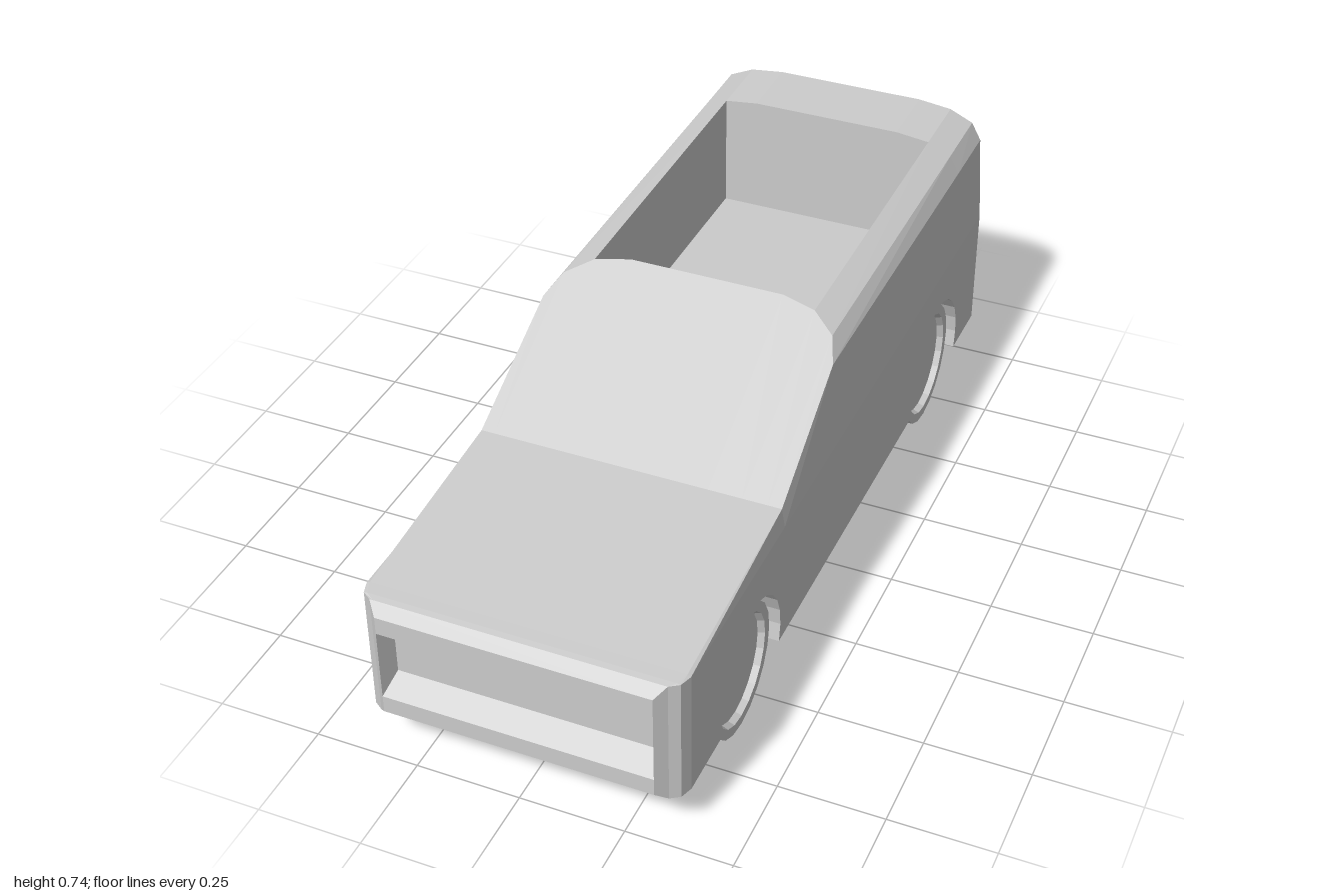
import * as THREE from 'three';

const mat = new THREE.MeshStandardMaterial({ color: 0xcccccc, flatShading: true, side: THREE.DoubleSide });
const BELT = 0.43, SILL = 0.112, ARCH = 0.178, AXLE_Y = 0.16, AXLES = [-0.67, 0.6];

// Flat-shaded panel through rows of [x, y, z] points
function panel(name, rows) {
  const pos = [];
  for (let i = 0; i < rows.length - 1; i++) {
    for (let j = 0; j < rows[i].length - 1; j++) {
      const a = rows[i][j], b = rows[i][j + 1], c = rows[i + 1][j], d = rows[i + 1][j + 1];
      pos.push(...a, ...c, ...b, ...b, ...c, ...d);
    }
  }
  const g = new THREE.BufferGeometry();
  g.setAttribute('position', new THREE.Float32BufferAttribute(pos, 3));
  g.computeVertexNormals();
  return named(name, g);
}

function named(name, geometry) {
  const mesh = new THREE.Mesh(geometry, mat);
  mesh.name = name;
  return mesh;
}

const flip = ([x, y, z]) => [-x, y, z];
const full = (half) => [...half, ...half.map(flip).reverse()];
const drop = (row) => row.map(([x, , z]) => [x, BELT, z]);
const ring = (x, y0, y1, z) => [[x, y0, z], [x, y1, z], [-x, y1, z], [-x, y0, z], [x, y0, z]];

// Side outline of the lower body, optionally with wheel arches, extruded along x
function slab(x0, x1, arches) {
  const s = new THREE.Shape();
  s.moveTo(-1, SILL);
  if (arches) {
    const dip = Math.asin((AXLE_Y - SILL) / ARCH);
    for (const z of AXLES) {
      for (let i = 0; i <= 14; i++) {
        const a = Math.PI + dip - (i / 14) * (Math.PI + 2 * dip);
        s.lineTo(z + ARCH * Math.cos(a), AXLE_Y + ARCH * Math.sin(a));
      }
    }
  }
  s.lineTo(0.93, SILL);
  s.lineTo(0.93, BELT);
  s.lineTo(-1, BELT);
  const g = new THREE.ExtrudeGeometry(s, { depth: x1 - x0, bevelEnabled: false });
  g.rotateY(-Math.PI / 2); // shape x becomes z, depth runs to -x
  g.translate(x1, 0, 0);
  return g;
}

function wheel(x, z, side) {
  const profile = [[0, -0.046], [0.16, -0.046], [0.16, 0.046], [0.135, 0.046], [0.13, 0.03], [0, 0.03]];
  const g = new THREE.LatheGeometry(profile.map(([r, h]) => new THREE.Vector2(r, h)), 20);
  g.rotateZ(-side * Math.PI / 2);
  const mesh = named((side > 0 ? 'left' : 'right') + (z > 0 ? 'FrontWheel' : 'RearWheel'), g);
  mesh.position.set(x, AXLE_Y, z);
  return mesh;
}

export function createModel() {
  const group = new THREE.Group();

  // Lower body: a plain core between two slabs with wheel arches
  group.add(named('lowerBody', slab(-0.25, 0.25, false)));
  group.add(named('leftLowerSide', slab(0.25, 0.375, true)));
  group.add(named('rightLowerSide', slab(-0.375, -0.25, true)));

  // Half cross-sections from the belt line up to the roof
  const roof = (z) => {
    const d = (z + 1) * 0.016;
    return [[0.375, BELT, z], [0.36, 0.655 - d / 2, z], [0.335, 0.7 - d, z], [0.275, 0.727 - d, z], [0.19, 0.737 - d, z]];
  };
  const rear = roof(-1), bedBack = roof(-0.82);
  const pillar = [[0.375, BELT, 0.17], [0.36, 0.652, 0.09], [0.335, 0.687, 0.03], [0.275, 0.712, -0.015], [0.19, 0.722, -0.033]];
  const hoodAt = (x, y, z) => [[x, BELT, z], [x - 0.008, y, z], [x * 0.89, y, z], [x * 0.73, y, z], [x * 0.51, y, z]];
  const cowl = hoodAt(0.375, 0.478, 0.41);
  const hoodRows = [cowl, hoodAt(0.375, 0.434, 0.93), hoodAt(0.365, 0.432, 0.96), hoodAt(0.343, BELT, 0.975)].map(full);

  group.add(panel('tailPanel', [full(rear), drop(full(rear))]));
  group.add(panel('rearRoof', [full(rear), full(bedBack)]));
  group.add(panel('windshield', [full(pillar), full(cowl)]));
  group.add(panel('hood', hoodRows));

  // Upper sides and the walls of the open interior
  const rail = [bedBack[3], pillar[3], cowl[3]];
  for (const [side, f] of [['left', (p) => p], ['right', flip]]) {
    group.add(panel(side + 'UpperSide', [bedBack.slice(0, 4).map(f), pillar.slice(0, 4).map(f)]));
    group.add(panel(side + 'InnerWall', [rail.map(f), drop(rail).map(f)]));
  }
  const backEdge = full(bedBack.slice(3));
  group.add(panel('innerBackWall', [backEdge, drop(backEdge)]));

  // Nose with chamfered corners and a raised front panel
  group.add(panel('nose', [
    ring(0.375, SILL, BELT, 0.93), ring(0.365, SILL, BELT, 0.96),
    ring(0.343, SILL, BELT, 0.975), ring(0.32, 0.137, 0.406, 1),
  ]));

  // Front panel with a horizontal trough, closed at both ends
  const trough = [[0.406, 1], [0.361, 1], [0.316, 0.955], [0.226, 0.955], [0.181, 1], [0.137, 1]];
  const across = (x) => trough.map(([y, z]) => [x, y, z]);
  group.add(panel('grille', [across(-0.32), across(0.32)]));
  for (const s of [-1, 1]) {
    const inner = [[0.303, 0.361, 0.955], [0.303, 0.181, 0.955]];
    const outer = [[0.32, 0.361, 1], [0.32, 0.181, 1]];
    const place = ([x, y, z]) => [s * x, y, z];
    group.add(panel(s > 0 ? 'leftGrilleEnd' : 'rightGrilleEnd', [inner.map(place), outer.map(place)]));
  }

  // Wheels
  for (const z of AXLES) {
    group.add(wheel(0.309, z, 1), wheel(-0.319, z, -1));
  }
  return group;
}
